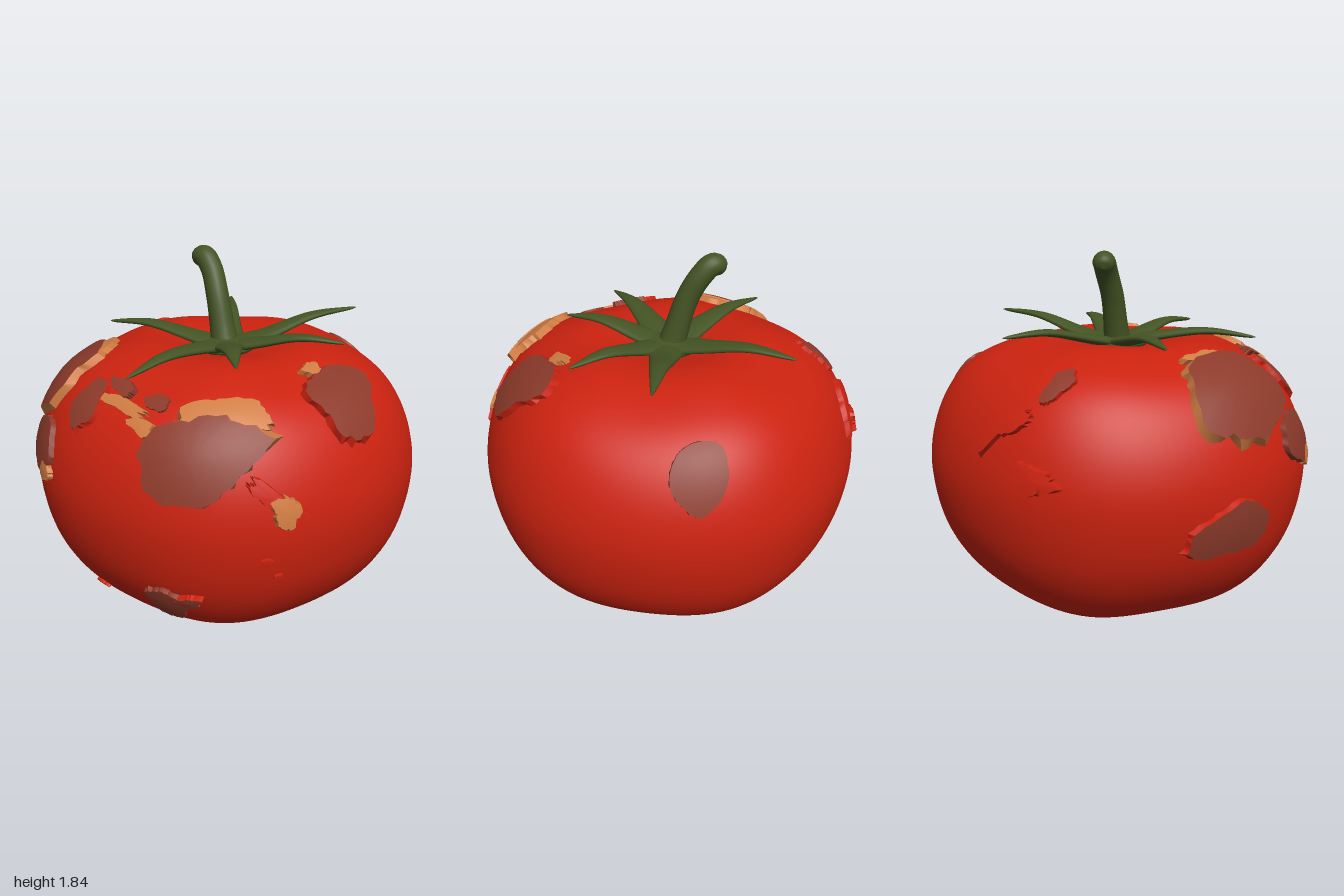
import * as THREE from 'three';
import { mergeVertices, toCreasedNormals } from 'three/addons/utils/BufferGeometryUtils.js';

const V = (x, y, z) => new THREE.Vector3(x, y, z);
const mat = (name, color) => {
  const m = new THREE.MeshStandardMaterial({ color, side: THREE.DoubleSide });
  m.name = name;
  return m;
};
const CENTRE = V(0, 0.7, 0);

// small seeded random number maker
let seed = 7;
const rand = () => (seed = (seed * 16807) % 2147483647) / 2147483647;

// fruit profile (radius, height), kept as elevation -> distance from the centre
const profile = new THREE.SplineCurve([
  [0, 0.06], [0.12, 0.045], [0.28, 0.012], [0.4, 0.005], [0.6, 0.06], [0.8, 0.21], [0.94, 0.44], [0.995, 0.72],
  [0.965, 0.95], [0.87, 1.15], [0.73, 1.28], [0.52, 1.365], [0.36, 1.38], [0.18, 1.345], [0, 1.3],
].map(([r, y]) => new THREE.Vector2(r, y))).getPoints(300)
  .map((p) => [Math.atan2(p.y - CENTRE.y, p.x), Math.hypot(p.x, p.y - CENTRE.y)]);

function radiusAlong(d) {
  const el = Math.asin(THREE.MathUtils.clamp(d.y, -1, 1));
  let i = 1;
  while (i < profile.length - 1 && profile[i][0] < el) i++;
  const [e0, r0] = profile[i - 1], [e1, r1] = profile[i];
  const base = r0 + (r1 - r0) * THREE.MathUtils.clamp((el - e0) / (e1 - e0 || 1), 0, 1);
  const a = Math.atan2(d.x, d.z), flat = Math.cos(el);
  // five soft lobes, strongest on the shoulders and underside
  const lobes = Math.cos(5 * a + Math.PI) * (0.009 * flat + 0.025 * flat * flat * d.y * d.y);
  return base * (1 + lobes);
}

function fruitGeometry() {
  let g = new THREE.SphereGeometry(1, 112, 80);
  g.deleteAttribute('uv');
  g.deleteAttribute('normal');
  g = mergeVertices(g, 1e-5);
  const p = g.attributes.position, v = V(0, 0, 0);
  for (let i = 0; i < p.count; i++) {
    v.fromBufferAttribute(p, i).normalize();
    v.multiplyScalar(radiusAlong(v)).add(CENTRE);
    p.setXYZ(i, v.x, v.y, v.z);
  }
  g.computeVertexNormals();
  return g;
}

// drop a flat point onto the fruit along one axis, then lift it off the skin
const AXES = {
  front: (u, v, s) => V(u, v, s),
  top: (u, v, s) => V(u, CENTRE.y + s, v),
  right: (u, v, s) => V(s, v, u),
  left: (u, v, s) => V(-s, v, u),
};
function onSkin(axis, u, v, lift) {
  let lo = 0, hi = 1.2;
  for (let k = 0; k < 26; k++) {
    const s = (lo + hi) / 2, d = AXES[axis](u, v, s).sub(CENTRE), len = d.length();
    if (len > radiusAlong(d.normalize())) hi = s; else lo = s;
  }
  const d = AXES[axis](u, v, lo).sub(CENTRE).normalize();
  return d.clone().multiplyScalar(radiusAlong(d) + lift).add(CENTRE);
}

function surface(pos, idx) {
  const g = new THREE.BufferGeometry();
  g.setAttribute('position', new THREE.Float32BufferAttribute(pos, 3));
  g.setIndex(idx);
  return g;
}

// rings of equal point count joined into a surface facing away from the centre
function ringSurface(rings) {
  const n = rings[0].length, pos = rings.flat().flatMap((p) => p.toArray()), idx = [];
  for (let k = 0; k < rings.length - 1; k++) {
    for (let j = 0; j < n; j++) {
      const a = k * n + j, b = k * n + (j + 1) % n;
      idx.push(a, a + n, b, b, a + n, b + n);
    }
  }
  const vote = V(0, 0, 0), outer = rings[rings.length - 1];
  for (let j = 0; j < n; j++) {
    const spoke = outer[j].clone().sub(rings[0][j]);
    vote.add(spoke.cross(outer[(j + 1) % n].clone().sub(outer[j])));
  }
  if (vote.dot(rings[0][0].clone().sub(CENTRE)) < 0) idx.reverse();
  return toCreasedNormals(surface(pos, idx), 0.6);
}

// raised ragged oval with a torn rim that runs back down to the skin
function patch(name, axis, [u, v, ru, rv, tilt, lift], material, rimMaterial, ragged) {
  const n = 44, phase = rand() * 6, cos = Math.cos(tilt), sin = Math.sin(tilt);
  const outline = Array.from({ length: n }, (_, j) => {
    const a = (j / n) * Math.PI * 2;
    const wave = Math.sin(3 * a + phase) + 0.7 * Math.sin(5 * a + 2 * phase) + 1.2 * (rand() - 0.5);
    return { a, r: 1 + ragged * wave };
  });
  const ring = (k, h, flare = 0) => outline.map(({ a, r }) => {
    const s = k * r + flare * rand(), x = Math.cos(a) * ru * s, y = Math.sin(a) * rv * s;
    return onSkin(axis, u + x * cos - y * sin, v + x * sin + y * cos, h);
  });
  const group = new THREE.Group();
  group.name = name;
  const rings = [0.001, 0.3, 0.6, 0.85, 1].map((k) => ring(k, lift * (1.1 - 0.1 * k)));
  const face = new THREE.Mesh(ringSurface(rings), material);
  face.name = name + 'Face';
  const rim = new THREE.Mesh(ringSurface([rings[4], ring(1, -0.006, ragged * 1.6)]), rimMaterial);
  rim.name = name + 'Rim';
  group.add(face, rim);
  return group;
}

// oval cross-sections swept along a path
function loft(points, ref, width, height, n = 28, m = 14) {
  const curve = new THREE.CatmullRomCurve3(points), pos = [], idx = [];
  for (let i = 0; i <= n; i++) {
    const t = i / n, c = curve.getPoint(t), tan = curve.getTangent(t);
    const side = tan.clone().cross(ref).normalize(), up = side.clone().cross(tan);
    for (let j = 0; j < m; j++) {
      const a = (j / m) * Math.PI * 2;
      const p = c.clone().addScaledVector(side, Math.cos(a) * width(t)).addScaledVector(up, Math.sin(a) * height(t));
      pos.push(p.x, p.y, p.z);
      if (i === n) continue;
      const q = i * m + j, b = i * m + (j + 1) % m;
      idx.push(q, q + m, b, b, q + m, b + m);
    }
  }
  const g = surface(pos, idx);
  g.computeVertexNormals();
  return g;
}

export function createModel() {
  seed = 7;
  const model = new THREE.Group();
  model.name = 'tomato';
  const red = mat('skinRed', 0xcb220f), brown = mat('scabBrown', 0x8c3a2a);
  const orange = mat('fleshOrange', 0xcf7c42), green = mat('stemGreen', 0x445424);
  const add = (name, geo, m) => {
    const mesh = new THREE.Mesh(geo, m);
    mesh.name = name;
    model.add(mesh);
    return mesh;
  };
  add('fruit', fruitGeometry(), red);

  // stalk with a rounded, hooked end
  const stalkRadius = (t) => (0.052 + 0.03 * Math.pow(1 - t, 4) + 0.008 * t) * Math.sqrt(Math.max(0, 1 - Math.pow(t, 14)));
  add('stalk', loft([V(0, 1.3, 0), V(-0.035, 1.43, -0.015), V(-0.085, 1.6, -0.035), V(-0.145, 1.72, -0.065),
    V(-0.205, 1.775, -0.08), V(-0.265, 1.745, -0.085)], V(0, 0, 1), stalkRadius, stalkRadius, 40, 18), green);

  // leafy crown: a low hub and six tapering sepals
  const hub = add('crownHub', new THREE.SphereGeometry(0.15, 28, 14), green);
  hub.scale.y = 0.3;
  hub.position.set(0, 1.35, 0);
  const tips = [[-0.4, 1.43, -0.57], [0.4, 1.48, -0.64], [0.605, 1.43, -0.165],
    [0.39, 1.42, 0.43], [-0.01, 1.37, 0.73], [-0.65, 1.41, 0.19]];
  for (const [x, y, z] of tips) {
    const path = [V(x * 0.05, 1.35, z * 0.05), V(x * 0.3, 1.385, z * 0.3), V(x * 0.65, y * 0.5 + 0.72, z * 0.65), V(x, y, z)];
    add('sepal', loft(path, V(0, 1, 0), (t) => 0.004 + 0.1 * Math.pow(1 - t, 0.85),
      (t) => 0.003 + 0.026 * Math.sqrt(1 - t)), green);
  }

  // each mark: place on the axis plane, two half sizes, tilt, lift
  const mark = (name, axis, shape, face, rim, ragged) => model.add(patch(name, axis, shape, face, rim, ragged));

  // big scabs with torn flesh around them
  mark('leftShoulderScab', 'top', [-0.6, 0.5, 0.26, 0.17, 0.86, 0.04], brown, orange, 0.07);
  mark('leftShoulderFlesh', 'top', [-0.48, 0.41, 0.13, 0.055, 1.2, 0.03], orange, orange, 0.14);
  mark('rightShoulderScab', 'front', [0.43, 1.1, 0.22, 0.165, 0.1, 0.05], brown, orange, 0.08);
  mark('rightShoulderFlesh', 'top', [0.47, 0.62, 0.19, 0.09, -0.65, 0.04], orange, orange, 0.12);
  mark('sideScab', 'top', [0.73, 0.08, 0.19, 0.145, 1.4, 0.035], brown, red, 0.08);
  mark('sideFlesh', 'top', [0.56, 0.08, 0.04, 0.05, 0, 0.03], orange, orange, 0.14);

  // smaller scabs
  mark('cheekScab', 'front', [-0.49, 0.95, 0.12, 0.125, 0, 0.025], brown, brown, 0.06);
  mark('cheekFlesh', 'front', [-0.42, 0.85, 0.055, 0.05, 0, 0.025], orange, orange, 0.14);
  mark('flankScab', 'front', [-0.84, 0.62, 0.095, 0.125, 0, 0.025], brown, red, 0.08);
  mark('lowerScab', 'front', [0.31, 0.36, 0.09, 0.1, 0, 0.025], brown, brown, 0.08);
  mark('lowerChip', 'front', [0.43, 0.41, 0.055, 0.03, 0.3, 0.03], brown, red, 0.14);
  mark('lowerNick', 'front', [-0.155, 0.258, 0.045, 0.014, 0, 0.015], brown, red, 0.14);
  mark('backScab', 'top', [0.26, -0.825, 0.13, 0.09, 0.2, 0.02], brown, brown, 0.03);
  mark('backLeftScab', 'top', [-0.71, -0.29, 0.09, 0.05, 0.9, 0.02], brown, red, 0.1);

  // broken row of scabs and flesh below the front sepal
  mark('frontScabLeft', 'top', [-0.21, 0.77, 0.08, 0.1, 0, 0.025], brown, red, 0.1);
  mark('frontScabMiddle', 'top', [-0.07, 0.68, 0.085, 0.035, 0.3, 0.03], brown, brown, 0.1);
  mark('frontScabRight', 'top', [0.15, 0.7, 0.065, 0.04, 0, 0.012], brown, brown, 0.08);
  mark('frontFlesh', 'top', [-0.03, 0.755, 0.17, 0.025, 0.1, 0.018], orange, orange, 0.14);
  mark('fleshStrand', 'front', [0.15, 1.195, 0.075, 0.025, -0.2, 0.02], orange, orange, 0.14);

  // loose flakes and specks
  mark('fleshChip', 'right', [0.59, 0.89, 0.05, 0.07, 0, 0.03], orange, orange, 0.14);
  mark('backLeftFlake', 'top', [-0.74, -0.52, 0.12, 0.025, -1.2, 0.025], red, red, 0.16);
  mark('leftFlake', 'left', [-0.41, 0.88, 0.085, 0.06, 0, 0.03], red, red, 0.18);
  mark('rightCrack', 'front', [0.74, 0.95, 0.12, 0.025, -0.75, 0.025], red, red, 0.16);
  mark('upperSpeck', 'front', [0.74, 0.65, 0.018, 0.018, 0, 0.015], red, red, 0.06);
  mark('lowerSpeck', 'front', [0.765, 0.55, 0.014, 0.02, 0, 0.015], red, red, 0.06);
  return model;
}
